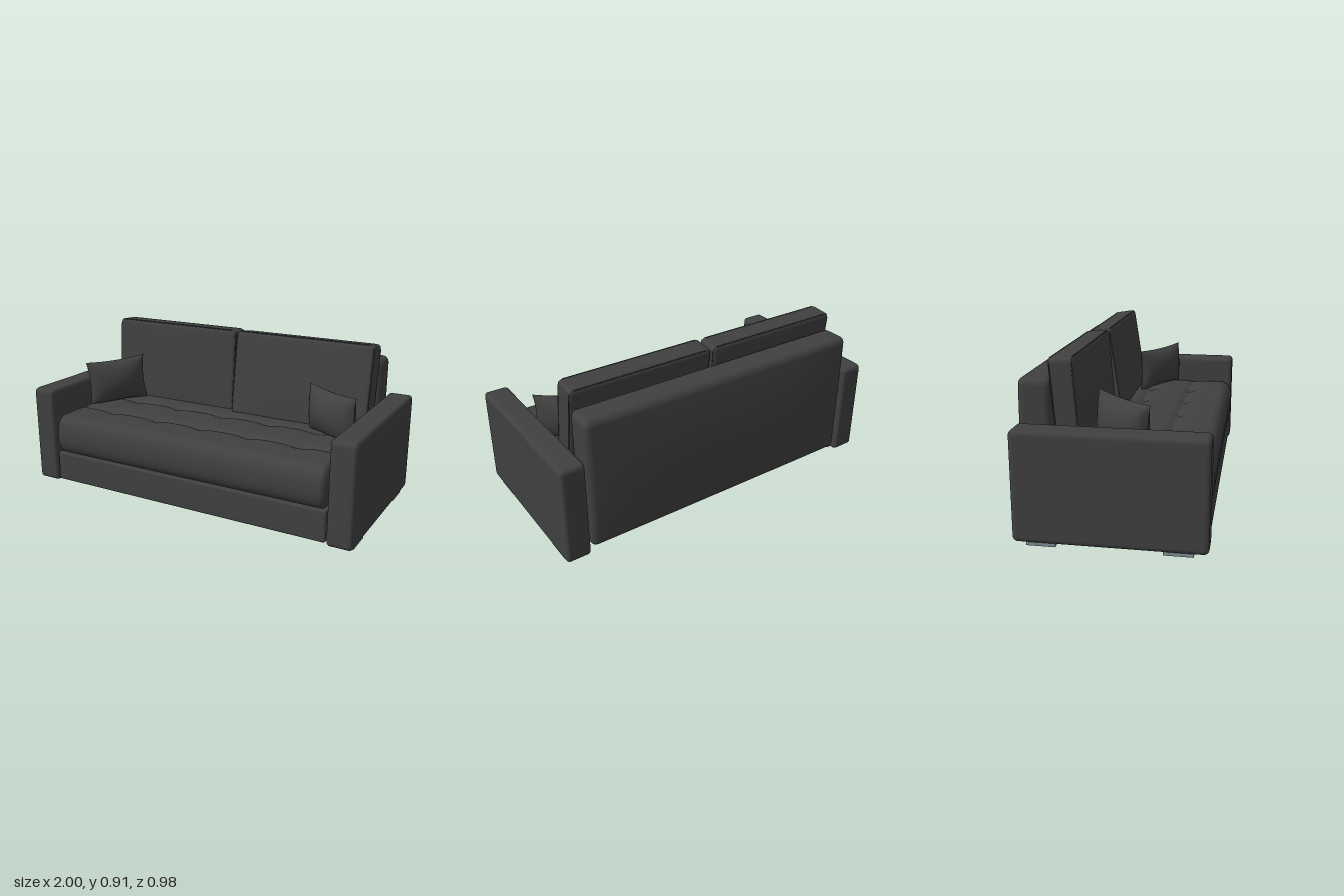
import * as THREE from 'three';
import { mergeVertices, mergeGeometries } from 'three/addons/utils/BufferGeometryUtils.js';

const fabric = new THREE.MeshStandardMaterial({ color: 0x404040 });
fabric.name = 'charcoal fabric';
const metal = new THREE.MeshStandardMaterial({ color: 0x7f8d95 });
metal.name = 'grey foot';

function smooth(geometry) {
  geometry.deleteAttribute('uv');
  geometry.deleteAttribute('normal');
  const merged = mergeVertices(geometry, 1e-5);
  merged.computeVertexNormals();
  return merged;
}

// Box with rounded edges (one radius per axis) and an optional rule that moves the vertices
function softBox(size, radii, segs, rule) {
  const k = 4;
  const g = new THREE.BoxGeometry(...size, ...segs);
  const pos = g.attributes.position;
  for (let i = 0; i < pos.count; i++) {
    const core = [], push = [];
    for (let a = 0; a < 3; a++) {
      const h = size[a] / 2, r = radii[a], n = segs[a];
      const s = Math.round((pos.getComponent(i, a) / h + 1) / 2 * n);
      // crowd the outer grid lines into the rounded edge
      let p;
      if (s <= k) p = -h + r * s / k;
      else if (s >= n - k) p = h - r * (n - s) / k;
      else p = -(h - r) + 2 * (h - r) * (s - k) / (n - 2 * k);
      core[a] = THREE.MathUtils.clamp(p, r - h, h - r);
      push[a] = (p - core[a]) / r;
    }
    const len = Math.hypot(...push) || 1;
    const v = new THREE.Vector3(...core.map((c, a) => c + radii[a] * push[a] / len));
    if (rule) rule(v);
    pos.setXYZ(i, v.x, v.y, v.z);
  }
  return smooth(g);
}

// Square scatter pillow: two sheets, fat in the middle, pinched along the sides
function pillowGeometry(w, h, t) {
  const half = (side) => {
    const g = new THREE.PlaneGeometry(2, 2, 20, 20);
    if (side < 0) g.rotateY(Math.PI);
    const pos = g.attributes.position;
    for (let i = 0; i < pos.count; i++) {
      const u = pos.getX(i), v = pos.getY(i);
      const puff = Math.pow(Math.max(0, (1 - u * u) * (1 - v * v)), 0.55);
      pos.setXYZ(i, w / 2 * u * (1 - 0.07 * (1 - v * v)),
        h / 2 * v * (1 - 0.08 * (1 - u * u)), side * t / 2 * puff);
    }
    return smooth(g);
  };
  return mergeGeometries([half(1), half(-1)]);
}

// Closed cord following a rounded rectangle in the xy plane
function pipingGeometry(w, h, r) {
  const path = new THREE.CurvePath();
  const x = w / 2, y = h / 2;
  const V = (a, b) => new THREE.Vector3(a, b, 0);
  const corners = [[1, 1], [-1, 1], [-1, -1], [1, -1]];
  corners.forEach(([sx, sy], i) => {
    const [nx, ny] = corners[(i + 1) % 4];
    const flat = sx * sy > 0; // this corner leaves along x
    const along = (ax, ay, horizontal) => horizontal
      ? V(ax * (x - r), ay * y) : V(ax * x, ay * (y - r));
    path.add(new THREE.QuadraticBezierCurve3(along(sx, sy, !flat), V(sx * x, sy * y), along(sx, sy, flat)));
    path.add(new THREE.LineCurve3(along(sx, sy, flat), along(nx, ny, flat)));
  });
  return new THREE.TubeGeometry(path, 120, 0.004, 6, true);
}

export function createModel() {
  const model = new THREE.Group();
  model.name = 'sofa';
  const add = (name, geometry, material, x, y, z, parent = model) => {
    const mesh = new THREE.Mesh(geometry, material);
    mesh.name = name;
    mesh.position.set(x, y, z);
    parent.add(mesh);
    return mesh;
  };

  // Arms and feet
  const arm = softBox([0.14, 0.565, 0.955], [0.02, 0.028, 0.028], [12, 14, 14]);
  const foot = new THREE.BoxGeometry(0.12, 0.022, 0.145);
  for (const [side, s] of [['left', 1], ['right', -1]]) {
    add(side + 'Arm', arm, fabric, s * 0.93, 0.3, 0.0075);
    add(side + 'FrontFoot', foot, metal, s * 0.925, 0.011, 0.34);
    add(side + 'RearFoot', foot, metal, s * 0.925, 0.011, -0.33);
  }

  // Base below the seat
  add('base', softBox([1.71, 0.175, 0.755], [0.012, 0.012, 0.012], [12, 12, 12]), fabric, 0, 0.117, 0.0975);

  // Seat mattress with two cross seams and rows of tufts
  const seatZ = 0.1, seams = [0.225 - seatZ, -0.03 - seatZ];
  const seat = softBox([1.71, 0.235, 0.78], [0.035, 0.1, 0.07], [96, 16, 64], (v) => {
    if (v.y <= 0.04) return;
    const fade = Math.min(1, Math.max(0, (0.85 - Math.abs(v.x)) / 0.06));
    let dip = 0;
    for (const z of seams) {
      const dz = v.z - z;
      dip += 0.012 * Math.exp(-((dz / 0.022) ** 2));
      const tuft = Math.cos(v.x * Math.PI / 0.3) ** 2;
      dip += 0.014 * tuft ** 3 * Math.exp(-((dz / 0.06) ** 2));
    }
    // short gathers along the front edge
    dip += 0.006 * Math.cos(v.x * Math.PI / 0.3) ** 40 * Math.exp(-(((v.z - 0.31) / 0.04) ** 2));
    v.y -= dip * fade;
  });
  add('seatCushion', seat, fabric, 0, 0.3125, seatZ);

  // Backrest, its rear face bowed outward
  const back = softBox([1.7, 0.755, 0.165], [0.035, 0.04, 0.035], [32, 24, 12], (v) => {
    if (v.z < 0) v.z -= 0.027 * (1 - (v.x / 0.85) ** 4) * (1 - (v.y / 0.3775) ** 2);
  });
  add('backrest', back, fabric, 0, 0.4225, -0.3825);

  // Leaning back cushions with piped front and rear rims
  const cushionSize = [0.838, 0.5, 0.13];
  const cushion = softBox(cushionSize, [0.022, 0.025, 0.018], [24, 18, 12], (v) => {
    const puff = (1 - (v.x / 0.419) ** 2) * (1 - (v.y / 0.25) ** 2);
    if (v.z > 0) v.z += 0.008 * puff;
  });
  const piping = pipingGeometry(0.832, 0.494, 0.03);
  for (const [side, x, z, tilt] of [['left', 0.424, -0.209, 0.15], ['right', -0.426, -0.23, 0.08]]) {
    const group = new THREE.Group();
    group.name = side + 'BackCushion';
    group.position.set(x, 0.652, z);
    group.rotation.x = -tilt;
    model.add(group);
    add('cushionBody', cushion, fabric, 0, 0, 0, group);
    for (const s of [1, -1]) add(s > 0 ? 'frontPiping' : 'rearPiping', piping, fabric, 0, 0, s * 0.055, group);
  }

  // Scatter pillows turned toward the middle
  const right = add('rightPillow', pillowGeometry(0.37, 0.28, 0.16), fabric, -0.73, 0.56, 0.03);
  right.rotation.set(0, 0.94, 0.06);
  const left = add('leftPillow', pillowGeometry(0.4, 0.265, 0.15), fabric, 0.69, 0.552, 0.015);
  left.rotation.set(0, -0.55, 0.02);

  return model;
}
